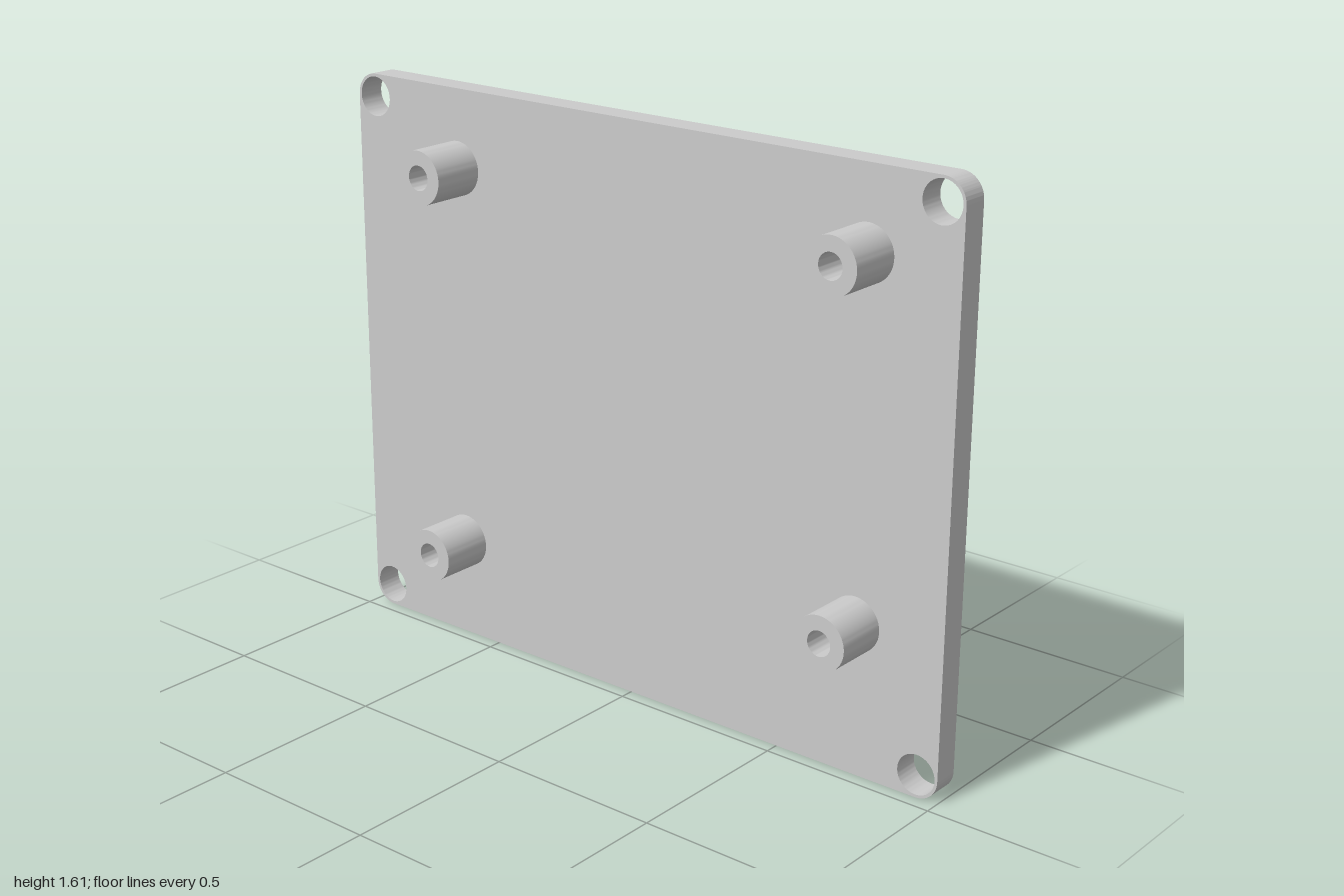
import * as THREE from 'three';
import { toCreasedNormals } from 'three/addons/utils/BufferGeometryUtils.js';

const W = 2, H = 1.613;            // plate width and height
const BACK = -0.115, FACE = -0.039, TIP = 0.115; // z of plate back, plate face, post ends
const CORNER = 0.064;              // corner radius, concentric with the corner holes
const HOLE = 0.056, POST = 0.076, BORE = 0.035;

const material = new THREE.MeshStandardMaterial({ color: 0xcccccc });

function circle(PathType, x, y, r) {
  return new PathType().absarc(x, y, r, 0, Math.PI * 2, false);
}

function extrude(name, shape, z0, z1) {
  const raw = new THREE.ExtrudeGeometry(shape, { depth: z1 - z0, bevelEnabled: false, curveSegments: 32 });
  const mesh = new THREE.Mesh(toCreasedNormals(raw, 0.6), material);
  mesh.name = name;
  mesh.position.z = z0;
  return mesh;
}

export function createModel() {
  const model = new THREE.Group();
  model.name = 'mountingPlate';

  // Plate with rounded corners and a through hole in each corner
  const cx = W / 2 - CORNER, top = H - CORNER;
  const corners = [[cx, top], [-cx, top], [-cx, CORNER], [cx, CORNER]];
  const outline = new THREE.Shape();
  corners.forEach(([x, y], i) => {
    outline.absarc(x, y, CORNER, i * Math.PI / 2, (i + 1) * Math.PI / 2, false);
    outline.holes.push(circle(THREE.Path, x, y, HOLE));
  });
  outline.closePath();
  model.add(extrude('plate', outline, BACK, FACE));

  // Hollow standoff posts on the front face
  const posts = {
    upperRightPost: [-0.622, 1.391],
    upperLeftPost: [0.733, 1.391],
    lowerLeftPost: [0.733, 0.421],
    lowerRightPost: [-0.622, 0.291],
  };
  for (const [name, [x, y]] of Object.entries(posts)) {
    const ring = circle(THREE.Shape, 0, 0, POST);
    ring.holes.push(circle(THREE.Path, 0, 0, BORE));
    const post = extrude(name, ring, FACE, TIP);
    post.position.x = x;
    post.position.y = y;
    model.add(post);
  }

  return model;
}
